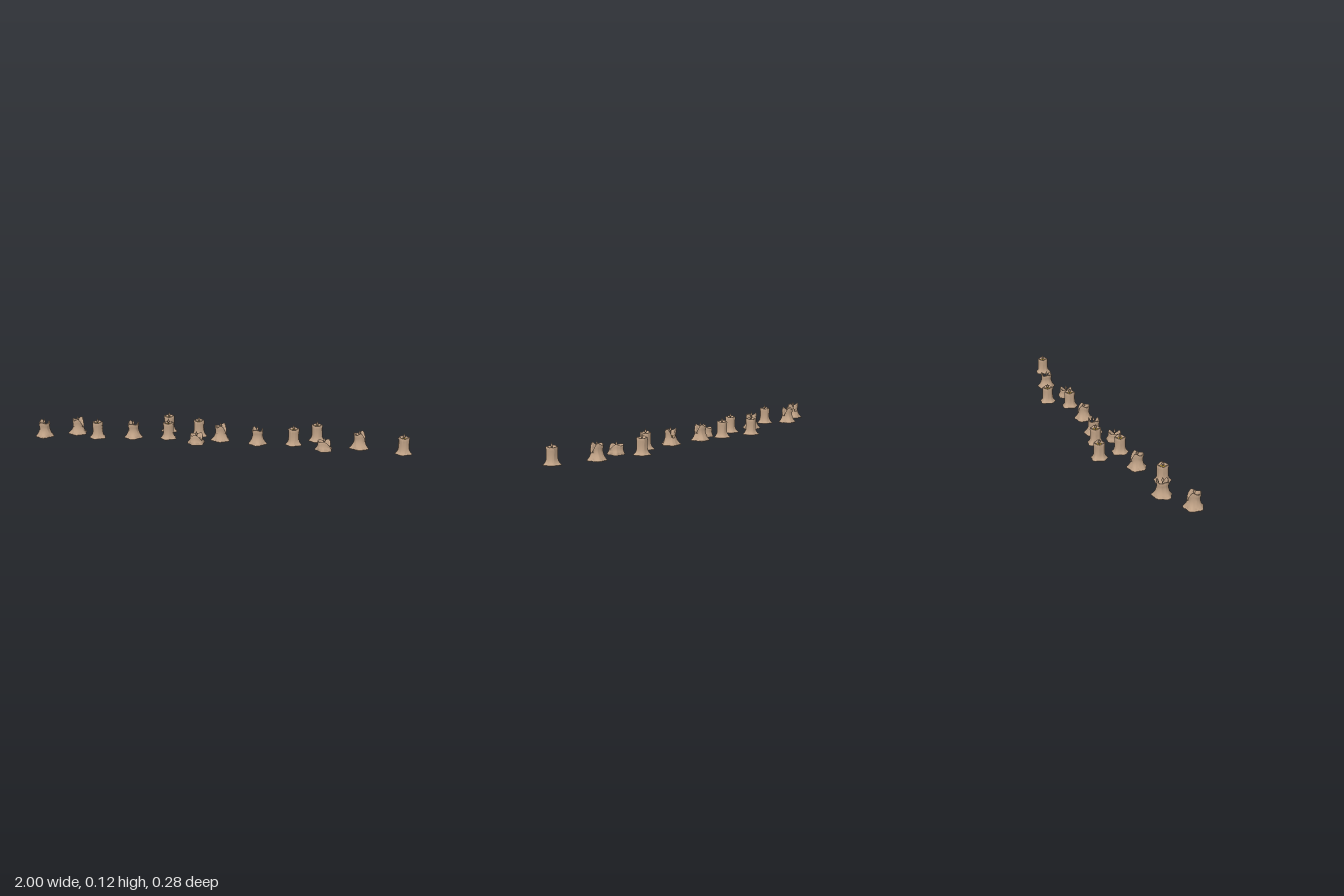
import * as THREE from 'three';
import { toCreasedNormals } from 'three/addons/utils/BufferGeometryUtils.js';

const wax = new THREE.MeshStandardMaterial({ name: 'wax', color: 0xc0a286 });
const pool = new THREE.MeshStandardMaterial({ name: 'moltenGold', color: 0xb8963c });

// profile: [radius, y] from the bottom centre, up the wall, over the rim, down to the inner floor
const kinds = {
  tall: {
    base: 0.007, floor: 0.078, flameY: 0.076, tip: 0.108, poolR: 0.014,
    dip: 0, horn: 0.003, lean: 0,
    profile: [[0, 0], [0.041, 0], [0.042, 0.002], [0.036, 0.008], [0.031, 0.017], [0.028, 0.03], [0.0275, 0.05],
      [0.028, 0.07], [0.029, 0.08], [0.0275, 0.086], [0.024, 0.0875], [0.02, 0.084], [0.017, 0.078], [0, 0.077]],
  },
  melted: {
    base: 0.003, floor: 0.046, flameY: 0.045, tip: 0.097, poolR: 0.013,
    dip: 0.036, horn: 0.007, lean: 0.003,
    profile: [[0, 0], [0.047, 0], [0.048, 0.003], [0.043, 0.009], [0.037, 0.018], [0.032, 0.03], [0.028, 0.044],
      [0.028, 0.058], [0.03, 0.07], [0.029, 0.077], [0.025, 0.079], [0.021, 0.073], [0.018, 0.058], [0.016, 0.047], [0, 0.045]],
  },
  stub: {
    base: 0, floor: 0.024, flameY: 0.023, tip: 0.068, poolR: 0,
    dip: 0.018, horn: 0.005, lean: 0.003,
    profile: [[0, 0], [0.043, 0], [0.044, 0.003], [0.041, 0.009], [0.037, 0.017], [0.034, 0.026], [0.033, 0.035],
      [0.033, 0.043], [0.031, 0.047], [0.027, 0.046], [0.023, 0.038], [0.02, 0.026], [0, 0.024]],
  },
};

// lathed candle whose foot spreads in drips and whose rim sags on its +z side
function candleBody(k) {
  const pts = k.profile.map(([r, y]) => new THREE.Vector2(r, y));
  const geo = new THREE.LatheGeometry(pts, 40);
  const top = Math.max(...k.profile.map(p => p[1]));
  const pos = geo.attributes.position;
  for (let i = 0; i < pos.count; i++) {
    const x = pos.getX(i), y = pos.getY(i), z = pos.getZ(i);
    const a = Math.atan2(x, z);
    const foot = Math.max(0, 1 - y / 0.03);
    const drip = 0.09 * Math.cos(5 * a + 0.6) + 0.05 * Math.cos(3 * a + 2);
    const s = 1 + drip * foot + 0.035 * Math.cos(4 * a + 1) * (1 - foot);
    const up = THREE.MathUtils.smoothstep(y, k.floor * 0.75, top);
    const sag = k.dip * Math.exp(-((a / 0.6) ** 2));
    const horns = k.horn * (Math.exp(-(((Math.abs(a) - 1.25) / 0.4) ** 2)) + 0.5 * Math.cos(3 * a + 2.5));
    pos.setXYZ(i, x * s, y + up * (horns - sag), z * s + up * k.lean * Math.cos(a));
  }
  geo.deleteAttribute('uv');
  return toCreasedNormals(geo, 0.9);
}

// slender teardrop flame
function flameShape(k) {
  const h = k.tip - k.flameY;
  const mid = Math.max(0.3, 1 - 0.018 / h);
  const pts = [[0, 0], [0.003, 0.001], [0.003, h * mid * 0.85], [0.0062, h * mid],
    [0.005, h * (mid + 0.3 * (1 - mid))], [0.0022, h * (mid + 0.7 * (1 - mid))], [0, h]];
  return new THREE.LatheGeometry(pts.map(p => new THREE.Vector2(...p)), 12);
}

export function createModel() {
  const model = new THREE.Group();
  model.name = 'candleRow';

  const parts = {};
  for (const [name, k] of Object.entries(kinds)) {
    parts[name] = { body: candleBody(k), flame: flameShape(k) };
    if (k.poolR) parts[name].pool = new THREE.CylinderGeometry(k.poolR, k.poolR, 0.002, 24);
  }

  const add = (group, name, geo, mat, y) => {
    const mesh = new THREE.Mesh(geo, mat);
    mesh.name = name;
    mesh.position.y = y;
    group.add(mesh);
  };

  // kind, x, z, turn
  const A = 1.35, B = 2.8;
  const layout = [
    ['melted', -0.953, 0.088, B], ['melted', -0.79, 0.01, A], ['tall', -0.66, 0.077, 0],
    ['melted', -0.476, 0.03, B], ['tall', -0.308, -0.1, 0], ['tall', -0.285, 0.026, 0],
    ['tall', -0.132, -0.043, 0], ['stub', -0.125, 0.07, 1.1], ['melted', -0.006, 0.002, A],
    ['melted', 0.195, 0.03, B], ['tall', 0.385, 0.026, 0], ['tall', 0.5, -0.062, 0],
    ['stub', 0.548, 0.07, 1.1], ['melted', 0.727, 0.018, A], ['tall', 0.953, 0.083, 0],
  ];
  for (const [kind, x, z, turn] of layout) {
    const k = kinds[kind], p = parts[kind];
    const candle = new THREE.Group();
    candle.name = kind + 'Candle';
    add(candle, 'waxBody', p.body, wax, 0);
    add(candle, 'flame', p.flame, wax, k.flameY);
    if (p.pool) add(candle, 'moltenPool', p.pool, pool, k.floor);
    candle.position.set(x, k.base, z);
    candle.rotation.y = turn;
    model.add(candle);
  }
  return model;
}
